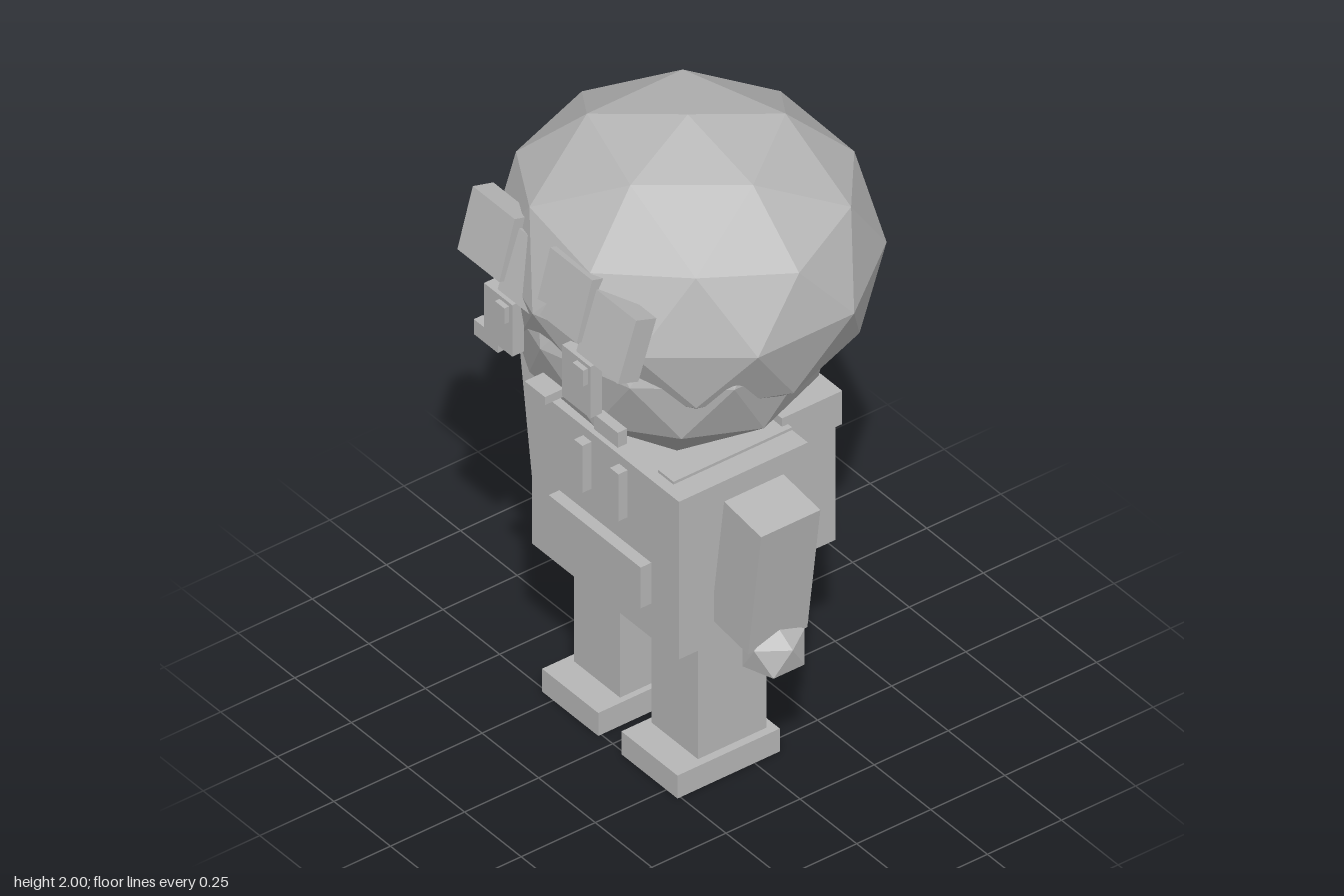
import * as THREE from 'three';

const grey = new THREE.MeshStandardMaterial({ color: 0xb8b8b8, flatShading: true });
grey.name = 'plain grey';

export function createModel() {
  const model = new THREE.Group();
  model.name = 'blockFigure';

  const add = (name, geometry) => {
    const mesh = new THREE.Mesh(geometry, grey);
    mesh.name = name;
    model.add(mesh);
    return mesh;
  };

  // Box given by its limits on each axis
  const box = (name, [x0, x1], [y0, y1], [z0, z1]) => {
    const mesh = add(name, new THREE.BoxGeometry(x1 - x0, y1 - y0, z1 - z0));
    mesh.position.set((x0 + x1) / 2, (y0 + y1) / 2, (z0 + z1) / 2);
    return mesh;
  };

  // The same box on both sides
  const pair = (name, [x0, x1], y, z) => {
    box(name + 'Left', [x0, x1], y, z);
    box(name + 'Right', [-x1, -x0], y, z);
  };

  // Faceted ball standing on a vertex
  const ball = (name, detail, radii, position) => {
    const geometry = new THREE.IcosahedronGeometry(1, detail);
    geometry.rotateX(-Math.atan((1 + Math.sqrt(5)) / 2));
    geometry.rotateY(Math.PI / 2);
    geometry.scale(...radii);
    geometry.computeVertexNormals();
    add(name, geometry).position.set(...position);
  };

  // Head and hair
  ball('head', 1, [0.485, 0.42, 0.44], [0, 1.44, 0.055]);
  ball('hair', 1, [0.55, 0.43, 0.524], [0, 1.57, -0.003]);

  // Fringe of four tilted blocks, alternately high and low
  [-0.25, -0.08, 0.092, 0.267].forEach((x, i) => {
    const low = i % 2;
    const lock = add('fringe' + (i + 1), new THREE.BoxGeometry(0.185, 0.195, 0.072));
    lock.position.set(x, low ? 1.624 : 1.662, low ? 0.442 : 0.452);
    lock.rotation.x = low ? -0.32 : -0.27;
  });

  // Face
  pair('eye', [0.11, 0.235], [1.352, 1.525], [0.465, 0.505]);
  box('eyeGlintRight', [-0.166, -0.124], [1.46, 1.513], [0.49, 0.521]);
  box('eyeGlintLeft', [0.177, 0.224], [1.46, 1.513], [0.49, 0.521]);
  pair('cheek', [0.212, 0.318], [1.29, 1.34], [0.445, 0.476]);
  box('mouth', [-0.045, 0.045], [1.286, 1.313], [0.45, 0.513]);

  // Body with chest straps and pocket
  box('body', [-0.325, 0.325], [0.49, 1.02], [-0.16, 0.275]);
  pair('chestStrap', [0.061, 0.098], [0.832, 0.99], [0.265, 0.306]);
  box('pocket', [-0.203, 0.203], [0.605, 0.742], [0.265, 0.311]);
  pair('shoulderStrap', [0.187, 0.255], [1.0, 1.029], [-0.16, 0.24]);

  // Backpack
  box('backpack', [-0.22, 0.22], [0.55, 1.02], [-0.333, -0.155]);
  box('backpackFlap', [-0.237, 0.237], [0.945, 1.057], [-0.343, -0.14]);

  // Arms, hands, legs and feet
  for (const side of [-1, 1]) {
    const label = side > 0 ? 'Left' : 'Right';
    const arm = add('arm' + label, new THREE.BoxGeometry(0.165, 0.432, 0.2));
    arm.position.set(side * 0.423, 0.769, 0.057);
    arm.rotation.z = -side * 0.134;
    ball('hand' + label, 0, [0.095, 0.09, 0.1], [side * 0.455, 0.508, 0.055]);
  }
  pair('leg', [0.07, 0.274], [0.05, 0.5], [-0.06, 0.172]);
  pair('foot', [0.051, 0.299], [0, 0.077], [-0.085, 0.26]);

  return model;
}
